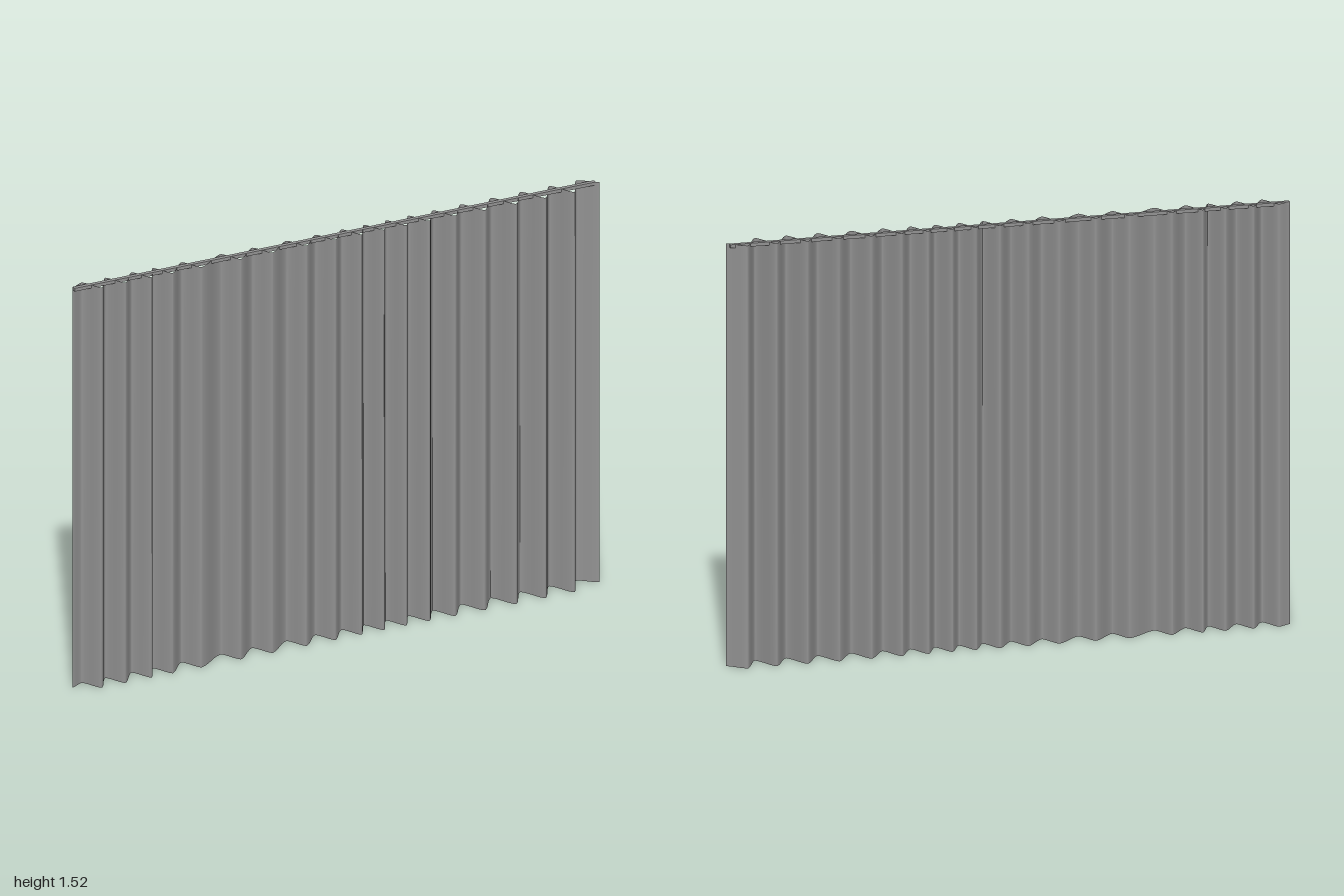
import * as THREE from 'three';

const HEIGHT = 1.52;
const COLOR = 0x929292;

// Position of each forward crest across the width
const CRESTS = [
  -0.91, -0.82, -0.72, -0.64, -0.53, -0.38, -0.26, -0.13, -0.02,
  0.08, 0.165, 0.25, 0.337, 0.435, 0.547, 0.665, 0.777, 0.887,
];

// Troughs lie just behind each crest: a short rise, then a longer fall.
// The folds get a little deeper towards the right-hand end.
function foldKnots() {
  const knots = [[-1, -0.012]];
  for (const x of CRESTS) {
    const grow = THREE.MathUtils.smoothstep(x, 0.2, 0.7);
    const depth = 0.033 + 0.008 * grow;
    const rise = 0.045 + 0.012 * grow;
    knots.push([x - rise, -depth], [x, depth]);
  }
  knots.push([0.933, -0.041], [1, 0.004]);
  return knots;
}

// Blend between neighbouring knots, part straight and part rounded
function foldDepth(knots, x) {
  let i = 0;
  while (i < knots.length - 2 && x > knots[i + 1][0]) i++;
  const [x0, z0] = knots[i];
  const [x1, z1] = knots[i + 1];
  const t = THREE.MathUtils.clamp((x - x0) / (x1 - x0), 0, 1);
  const round = t * t * (3 - 2 * t);
  return z0 + (z1 - z0) * (0.4 * t + 0.6 * round);
}

export function createModel() {
  const group = new THREE.Group();
  group.name = 'pleatedCurtain';

  // Curtain: a thin sheet pleated along its width
  const sheet = new THREE.PlaneGeometry(2, HEIGHT, 500, 1);
  sheet.translate(0, HEIGHT / 2, 0);
  const knots = foldKnots();
  const pos = sheet.attributes.position;
  for (let i = 0; i < pos.count; i++) pos.setZ(i, foldDepth(knots, pos.getX(i)));
  sheet.computeVertexNormals();
  const curtain = new THREE.Mesh(
    sheet,
    new THREE.MeshStandardMaterial({ color: COLOR, side: THREE.DoubleSide })
  );
  curtain.name = 'curtain';
  group.add(curtain);

  // Rail: a slim bar the top edge weaves around
  const rail = new THREE.Mesh(
    new THREE.BoxGeometry(1.985, 0.012, 0.015),
    new THREE.MeshStandardMaterial({ color: COLOR })
  );
  rail.position.set(-0.0045, HEIGHT - 0.006, -0.008);
  rail.name = 'rail';
  group.add(rail);

  return group;
}
